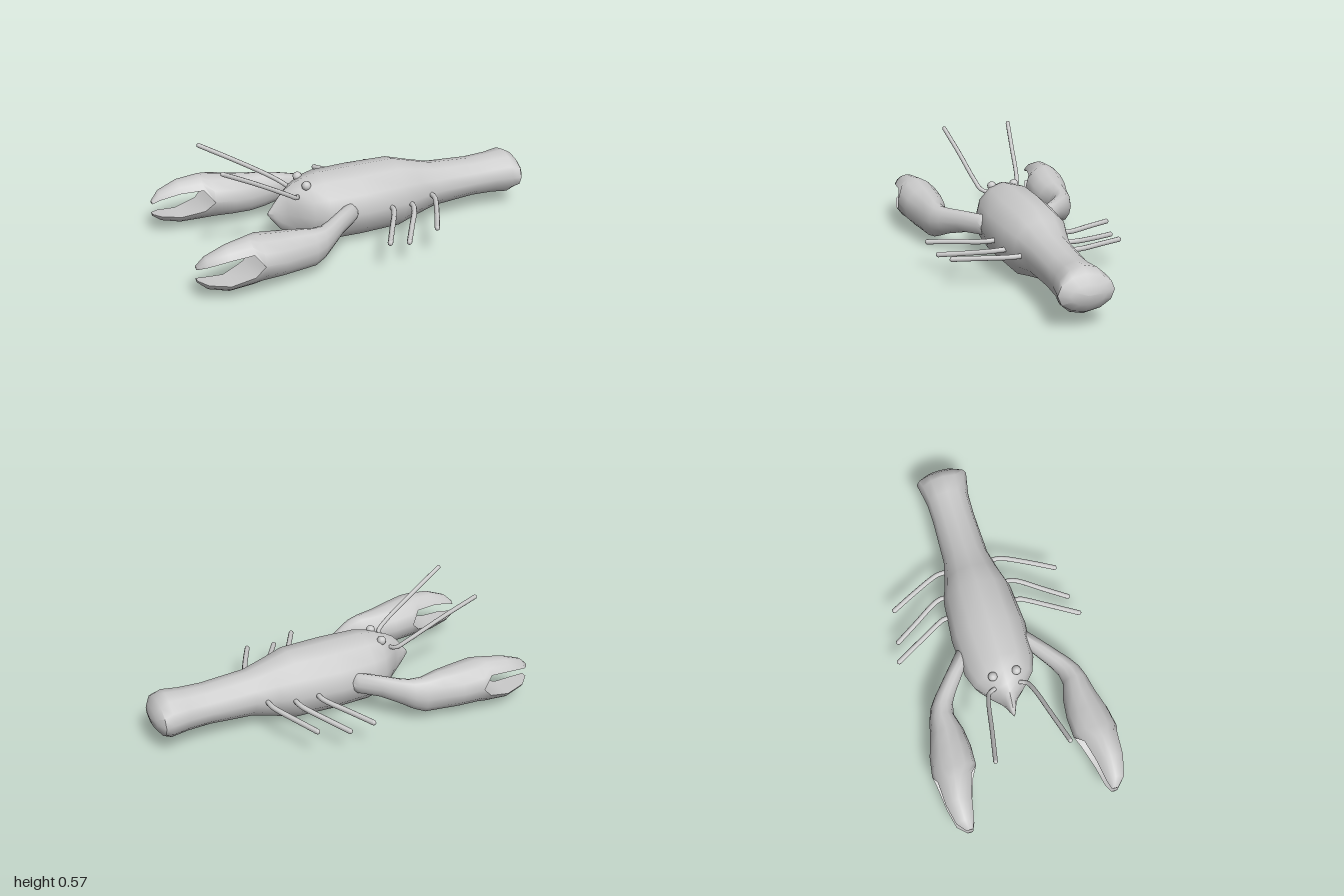
import * as THREE from 'three';
import { toCreasedNormals } from 'three/addons/utils/BufferGeometryUtils.js';

const material = new THREE.MeshStandardMaterial({ color: 0xcccccc, side: THREE.DoubleSide });
const SIDES = 12;

// Arc of an ellipse lying across the x axis, from angle a to angle b
function arc([x, cy, cz, ry, rz], a, b, count) {
  const ring = [];
  for (let i = 0; i < count; i++) {
    const t = a + ((b - a) * i) / (count - 1);
    ring.push([x, cy + ry * Math.sin(t), cz + rz * Math.cos(t)]);
  }
  return ring;
}
const fullRing = (s) => arc(s, 0, Math.PI * 2, SIDES + 1).slice(0, SIDES);

// Skin closed rings listed in order of growing x into a triangle list
function skin(rings, capStart, capEnd, out = []) {
  const n = rings[0].length;
  for (let k = 0; k + 1 < rings.length; k++) {
    const p = rings[k], q = rings[k + 1];
    for (let i = 0; i < n; i++) {
      const j = (i + 1) % n;
      out.push(...p[i], ...q[i], ...p[j], ...p[j], ...q[i], ...q[j]);
    }
  }
  const first = rings[0], last = rings[rings.length - 1];
  for (let i = 1; i + 1 < n; i++) {
    if (capStart) out.push(...first[0], ...first[i], ...first[i + 1]);
    if (capEnd) out.push(...last[0], ...last[i + 1], ...last[i]);
  }
  return out;
}

function makeMesh(name, positions) {
  const g = new THREE.BufferGeometry();
  g.setAttribute('position', new THREE.Float32BufferAttribute(positions, 3));
  const mesh = new THREE.Mesh(toCreasedNormals(g, 0.9), material);
  mesh.name = name;
  return mesh;
}

// Body: x, half height, half width
function makeBody() {
  const stations = [
    [-0.485, 0.008, 0.003], [-0.455, 0.05, 0.017], [-0.42, 0.095, 0.03], [-0.39, 0.125, 0.05],
    [-0.35, 0.15, 0.095], [-0.28, 0.175, 0.16], [-0.2, 0.189, 0.19], [0, 0.19, 0.205],
    [0.23, 0.189, 0.187], [0.34, 0.157, 0.153], [0.46, 0.124, 0.124], [0.7, 0.107, 0.116],
    [0.82, 0.112, 0.119], [0.91, 0.122, 0.135], [0.957, 0.095, 0.144], [0.988, 0.05, 0.09], [1, 0.004, 0.006],
  ];
  return makeMesh('body', skin(stations.map(([x, h, w]) => fullRing([x, 0.19, 0, h, w])), true, true));
}

// Claw: arm and palm as one skin, then two jaws cut flat along the mouth
function makeClaw(side) {
  // x, bottom, top, inner z, outer z
  const section = ([x, y0, y1, z0, z1]) =>
    [x, (y0 + y1) / 2, (side * (z0 + z1)) / 2, (y1 - y0) / 2, (z1 - z0) / 2];
  const root = [-0.68, 0.055, 0.297, 0.266, 0.503];
  const arm = [
    root, [-0.57, 0.052, 0.28, 0.263, 0.487], [-0.47, 0.05, 0.268, 0.275, 0.457],
    [-0.38, 0.055, 0.258, 0.302, 0.437], [-0.32, 0.08, 0.252, 0.292, 0.415],
    [-0.27, 0.105, 0.252, 0.262, 0.38], [-0.18, 0.135, 0.255, 0.195, 0.302],
    [-0.085, 0.14, 0.255, 0.12, 0.222], [-0.058, 0.165, 0.23, 0.13, 0.2],
  ].map(section);
  // Jaw stations with the heights of the lower and upper mouth edges
  const jaws = [
    [[-1, 0.108, 0.198, 0.368, 0.412], 0.122, 0.182],
    [[-0.955, 0.07, 0.242, 0.345, 0.46], 0.107, 0.205],
    [[-0.85, 0.04, 0.283, 0.322, 0.49], 0.09, 0.229],
    [[-0.73, 0.047, 0.298, 0.288, 0.5], 0.12, 0.24],
    [root, 0.176, 0.176],
  ];
  const out = skin(arm.map(fullRing), false, true);
  const half = SIDES / 2 + 1;
  const angle = (s, cut) => Math.asin(THREE.MathUtils.clamp((cut - s[1]) / s[3], -1, 1));
  skin(jaws.map(([d, , cut]) => {
    const s = section(d), a = angle(s, cut);
    return arc(s, a, Math.PI - a, half);
  }), true, false, out);
  skin(jaws.map(([d, cut]) => {
    const s = section(d), a = angle(s, cut);
    return arc(s, Math.PI - a, Math.PI * 2 + a, half);
  }), true, false, out);
  return makeMesh(side > 0 ? 'frontClaw' : 'backClaw', out);
}

// Thin limb along a few points, with rounded ends
function makeLimb(name, points, radius, side) {
  const group = new THREE.Group();
  group.name = name;
  const pts = points.map(([x, y, z]) => new THREE.Vector3(x, y, z * side));
  const curve = new THREE.CatmullRomCurve3(pts, false, 'centripetal');
  group.add(new THREE.Mesh(new THREE.TubeGeometry(curve, 24, radius, 8), material));
  for (const p of [pts[0], pts[pts.length - 1]]) {
    const end = new THREE.Mesh(new THREE.SphereGeometry(radius, 8, 6), material);
    end.position.copy(p);
    group.add(end);
  }
  return group;
}

export function createModel() {
  const model = new THREE.Group();
  model.name = 'lobster';
  model.add(makeBody());

  const legs = [
    [[0.14, 0.19, 0.17], [0.14, 0.19, 0.215], [0.125, 0.185, 0.25], [0.055, 0.176, 0.375], [-0.018, 0.165, 0.505]],
    [[0.262, 0.18, 0.15], [0.262, 0.18, 0.2], [0.248, 0.174, 0.24], [0.175, 0.152, 0.36], [0.102, 0.133, 0.48]],
    [[0.402, 0.19, 0.11], [0.402, 0.19, 0.17], [0.39, 0.187, 0.21], [0.335, 0.178, 0.33], [0.273, 0.166, 0.455]],
  ];
  for (const side of [1, -1]) {
    model.add(makeClaw(side));
    legs.forEach((points, i) => model.add(makeLimb(`leg${i + 1}`, points, 0.014, side)));
    model.add(makeLimb('antenna', [
      [-0.345, 0.295, 0.07], [-0.362, 0.305, 0.102], [-0.42, 0.345, 0.123], [-0.6, 0.455, 0.157], [-0.78, 0.557, 0.192],
    ], 0.012, side));

    // Eye
    const eye = new THREE.Mesh(new THREE.SphereGeometry(0.025, 12, 8), material);
    eye.name = 'eye';
    eye.position.set(-0.292, 0.345, 0.064 * side);
    model.add(eye);
  }
  return model;
}
